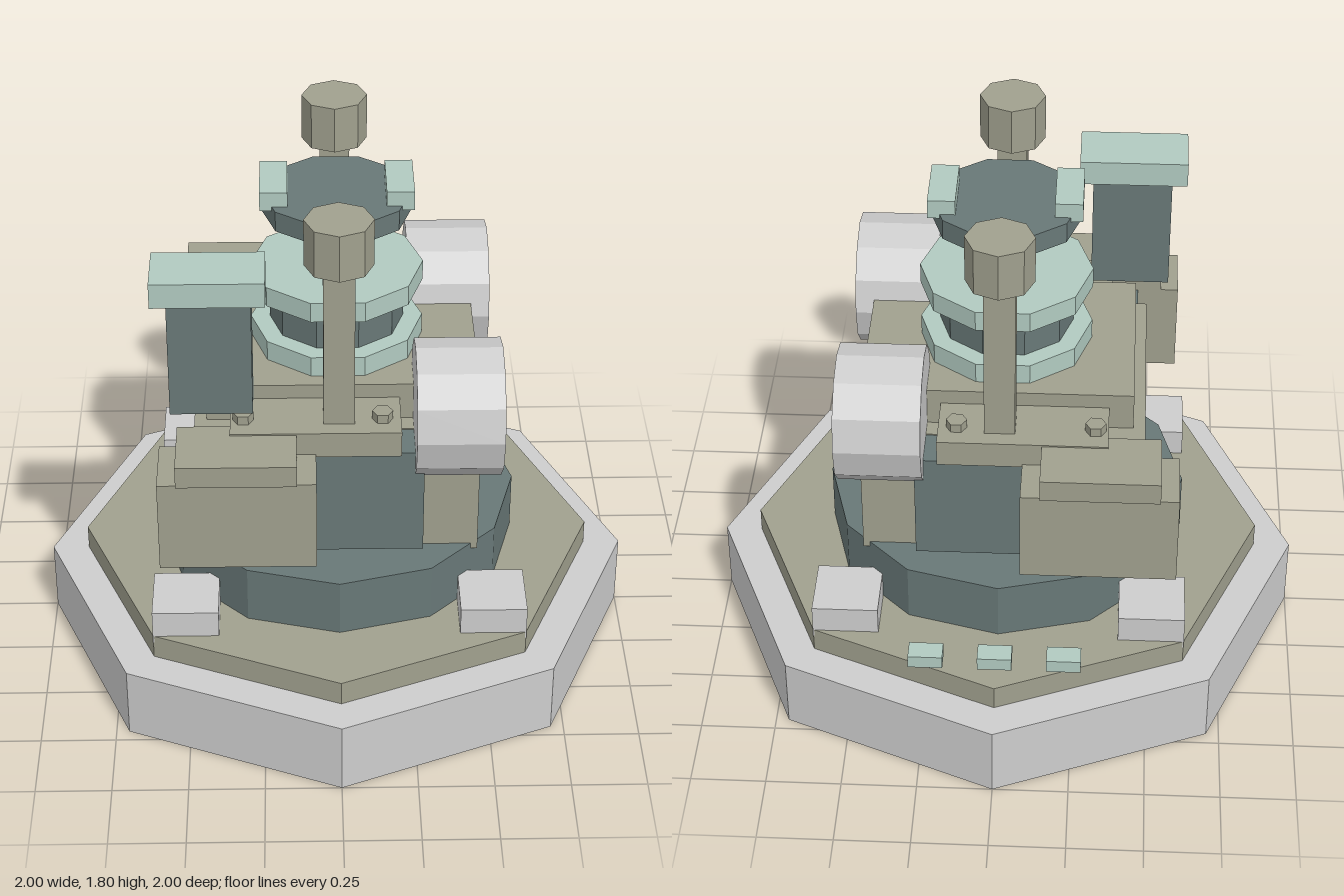
import * as THREE from 'three';

export function createModel() {
  const root = new THREE.Group();
  const mat = (name, color) => {
    const m = new THREE.MeshStandardMaterial({ color, flatShading: true });
    m.name = name;
    return m;
  };
  const grey = mat('light grey', 0xcdcdcd);
  const olive = mat('olive', 0xa0a08e);
  const dark = mat('slate', 0x687877);
  const mint = mat('mint', 0xb1cac0);

  const add = (name, geometry, material) => {
    const mesh = new THREE.Mesh(geometry, material);
    mesh.name = name;
    root.add(mesh);
    return mesh;
  };
  // Box given by its extents on each axis
  const box = (name, material, [x0, x1], [y0, y1], [z0, z1]) =>
    add(name, new THREE.BoxGeometry(x1 - x0, y1 - y0, z1 - z0), material)
      .position.set((x0 + x1) / 2, (y0 + y1) / 2, (z0 + z1) / 2);
  // Upright prism given by its height range; turn rotates its corners
  const prism = (name, material, r, sides, y0, y1, x = 0, z = 0, turn = 0) => {
    const g = new THREE.CylinderGeometry(r, r, y1 - y0, sides).rotateY(turn);
    add(name, g, material).position.set(x, (y0 + y1) / 2, z);
  };

  // Stepped base
  prism('base', grey, 1, 8, 0, 0.25);
  prism('deck', olive, 0.875, 8, 0.25, 0.335);
  prism('turntable', dark, 0.61, 12, 0.335, 0.535);
  for (const sx of [-1, 1]) for (const sz of [-1, 1])
    add('cornerPad', new THREE.BoxGeometry(0.22, 0.12, 0.22), grey)
      .position.set(sx * 0.51, 0.37, sz * 0.51);
  for (const x of [-0.225, 0, 0.225])
    box('rearLamp', mint, [x - 0.056, x + 0.056], [0.4, 0.445], [-0.855, -0.785]);

  // Main body
  box('body', olive, [-0.47, 0.465], [0.515, 1.0], [-0.39, 0.39]);
  box('bodyTop', olive, [-0.43, 0.462], [1.0, 1.13], [-0.326, 0.326]);

  // Parts mirrored on the front and back
  for (const s of [-1, 1]) {
    const zr = (a, b) => (s > 0 ? [a, b] : [-b, -a]);
    box('sideBlock', dark, [-0.44, 0.275], [0.615, 0.996], zr(0.3, 0.525));
    box('sideBox', olive, [-0.58, -0.075], [0.68, 1.0], zr(0.48, 0.703));
    box('sideBoxLid', olive, [-0.52, -0.137], [1.0, 1.075], zr(0.48, 0.715));
    box('mountPlate', olive, [-0.35, 0.2], [0.99, 1.08], zr(0.3, 0.535));
    for (const x of [-0.308, 0.14])
      prism('bolt', olive, 0.034, 6, 1.08, 1.11, x, s * 0.45, Math.PI / 6);
    box('mastPost', olive, [-0.05, 0.05], [1.08, 1.64], zr(0.38, 0.48));
    prism('mastCap', olive, 0.11, 8, 1.64, 1.8, 0, s * 0.43);

    const drum = new THREE.CylinderGeometry(0.223, 0.223, 0.28, 12).rotateZ(Math.PI / 2);
    add('drum', drum, grey).position.set(0.385, 1.085, s * 0.39);
  }

  // Central stack with corners on the x axis
  const turn = Math.PI / 10;
  prism('lowerRing', mint, 0.285, 10, 1.13, 1.2, 0, 0, turn);
  prism('stackCore', dark, 0.222, 10, 1.2, 1.31, 0, 0, turn);
  prism('upperRing', mint, 0.285, 10, 1.335, 1.405, 0, 0, turn);
  prism('stackCap', dark, 0.245, 10, 1.6, 1.67, 0, 0, turn);
  for (const s of [-1, 1])
    box('capLamp', mint, [s * 0.204 - 0.045, s * 0.204 + 0.045], [1.655, 1.72], [-0.11, 0.11]);

  // Front tower
  box('tower', dark, [-0.54, -0.275], [1.13, 1.54], [0.335, 0.49]);
  box('towerCap', mint, [-0.59, -0.23], [1.535, 1.62], [0.31, 0.51]);

  return root;
}
